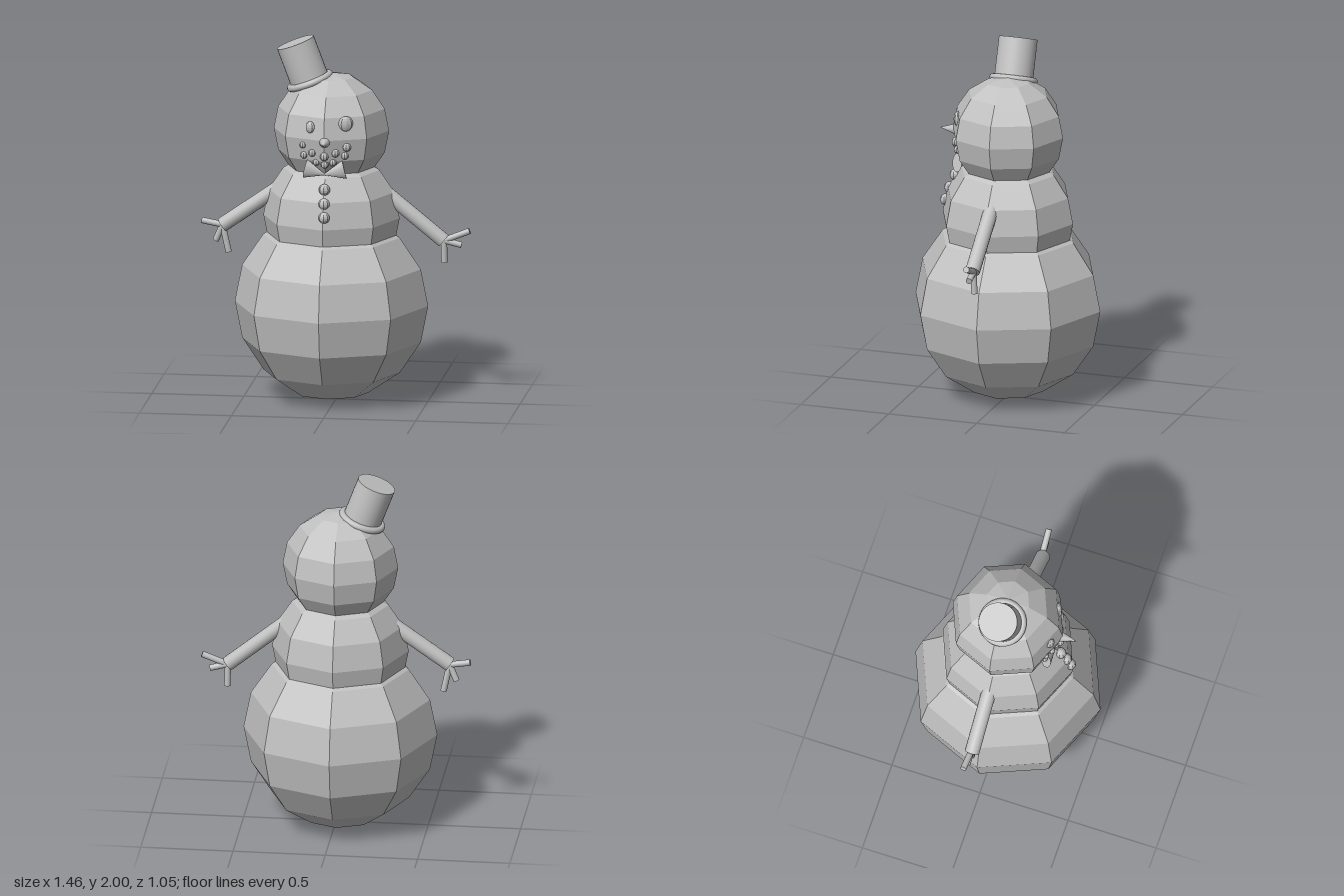
import * as THREE from 'three';

const AXIS = -0.024; // x of the body axis
const SPHERES = {
  lowerBody: { y: 0.53, r: 0.525 },
  upperBody: { y: 1.01, r: 0.37 },
  head: { y: 1.49, r: 0.313 },
};

export function createModel() {
  const model = new THREE.Group();
  model.name = 'snowman';
  const grey = new THREE.MeshStandardMaterial({ color: 0xc0c0c0 });
  grey.name = 'lightGrey';

  const add = (name, geometry, parent = model) => {
    const mesh = new THREE.Mesh(geometry, grey);
    mesh.name = name;
    parent.add(mesh);
    return mesh;
  };
  const group = (name, parent = model) => {
    const g = new THREE.Group();
    g.name = name;
    parent.add(g);
    return g;
  };
  // Faceted ball with eight sides and eight rings
  const ball = (r) => {
    const g = new THREE.SphereGeometry(r, 8, 8).toNonIndexed();
    g.computeVertexNormals();
    return g;
  };
  // Straight round stick between two points
  const stick = (name, a, b, r, parent) => {
    const d = b.clone().sub(a);
    const mesh = add(name, new THREE.CylinderGeometry(r, r, d.length(), 16), parent);
    mesh.position.copy(a).addScaledVector(d, 0.5);
    mesh.quaternion.setFromUnitVectors(new THREE.Vector3(0, 1, 0), d.normalize());
    return mesh;
  };
  // Front surface of a faceted ball at x, y
  const surfaceZ = ({ y: cy, r }, x, y) => {
    const step = Math.PI / 8;
    const dy = Math.min(Math.abs(y - cy), r);
    const k = Math.floor(Math.asin(dy / r) / step);
    const y0 = r * Math.sin(k * step), y1 = r * Math.sin((k + 1) * step);
    const radius = THREE.MathUtils.lerp(
      r * Math.cos(k * step), r * Math.cos((k + 1) * step), (dy - y0) / (y1 - y0));
    return radius - Math.abs(x - AXIS) * Math.tan(step);
  };

  // Three stacked snowballs
  for (const [name, s] of Object.entries(SPHERES)) {
    add(name, ball(s.r)).position.set(AXIS, s.y, 0);
  }

  // Hat, tilted to one side
  const hat = group('hat');
  hat.position.set(-0.14, 1.755, 0.008);
  hat.rotation.z = 0.36;
  add('hatCrown', new THREE.CylinderGeometry(0.105, 0.105, 0.224, 32), hat).position.y = 0.112;
  add('hatBrim', new THREE.TorusGeometry(0.112, 0.019, 12, 32), hat).rotation.x = Math.PI / 2;

  // Eyes, flattened against the face
  const eye = (name, x, y, w, h, yaw) => {
    const mesh = add(name, ball(1));
    mesh.scale.set(w, h, 0.02);
    mesh.position.set(x, y, surfaceZ(SPHERES.head, x, y));
    mesh.rotation.y = yaw;
  };
  eye('leftEye', 0.087, 1.575, 0.041, 0.043, 0.39);
  eye('rightEye', -0.103, 1.555, 0.027, 0.033, -0.39);

  // Nose
  const nose = add('nose', new THREE.ConeGeometry(0.036, 0.11, 12));
  nose.position.set(-0.022, 1.48, 0.332);
  nose.rotation.x = Math.PI / 2;

  // Mouth beads
  const mouth = group('mouth');
  const beads = [
    [-0.145, 1.454, 0.018], [-0.14, 1.397, 0.02], [-0.092, 1.415, 0.021],
    [-0.071, 1.363, 0.019], [-0.024, 1.4, 0.023], [-0.024, 1.353, 0.021],
    [0.019, 1.364, 0.02], [0.034, 1.417, 0.022], [0.082, 1.4, 0.021], [0.093, 1.448, 0.024],
  ];
  for (const [x, y, r] of beads) {
    add('mouthBead', ball(r), mouth).position.set(x, y, surfaceZ(SPHERES.head, x, y));
  }

  // Bow tie: two flattened cones meeting in the middle
  const bow = group('bowTie');
  bow.position.set(-0.026, 1.298, 0.27);
  for (const side of [-1, 1]) {
    const wing = group(side > 0 ? 'bowLeftWing' : 'bowRightWing', bow);
    wing.rotation.set(0, side * 0.15, side * 0.24);
    const cone = add('bowCone', new THREE.ConeGeometry(0.052, 0.12, 16), wing);
    cone.position.x = side * 0.05;
    cone.rotation.z = side * Math.PI / 2;
    cone.scale.z = 0.5;
  }

  // Buttons
  const buttons = group('buttons');
  for (const [x, y, z] of [[-0.022, 1.22, 0.3], [-0.02, 1.147, 0.33], [-0.017, 1.076, 0.352]]) {
    add('button', ball(0.031), buttons).position.set(x, y, z);
  }

  // Arms with three twig fingers each
  const arm = (name, start, end, tips) => {
    const g = group(name);
    const hand = new THREE.Vector3(...end, -0.006);
    stick('armStick', new THREE.Vector3(...start, -0.006), hand, 0.04, g);
    const root = new THREE.Vector3(...end, -0.012);
    for (const tip of tips) stick('finger', root, new THREE.Vector3(...tip, -0.018), 0.017, g);
  };
  arm('rightArm', [-0.3, 1.166], [-0.617, 0.945], [[-0.73, 0.965], [-0.655, 0.857], [-0.585, 0.795]]);
  arm('leftArm', [0.255, 1.16], [0.585, 0.892], [[0.724, 0.947], [0.68, 0.868], [0.587, 0.77]]);

  return model;
}
